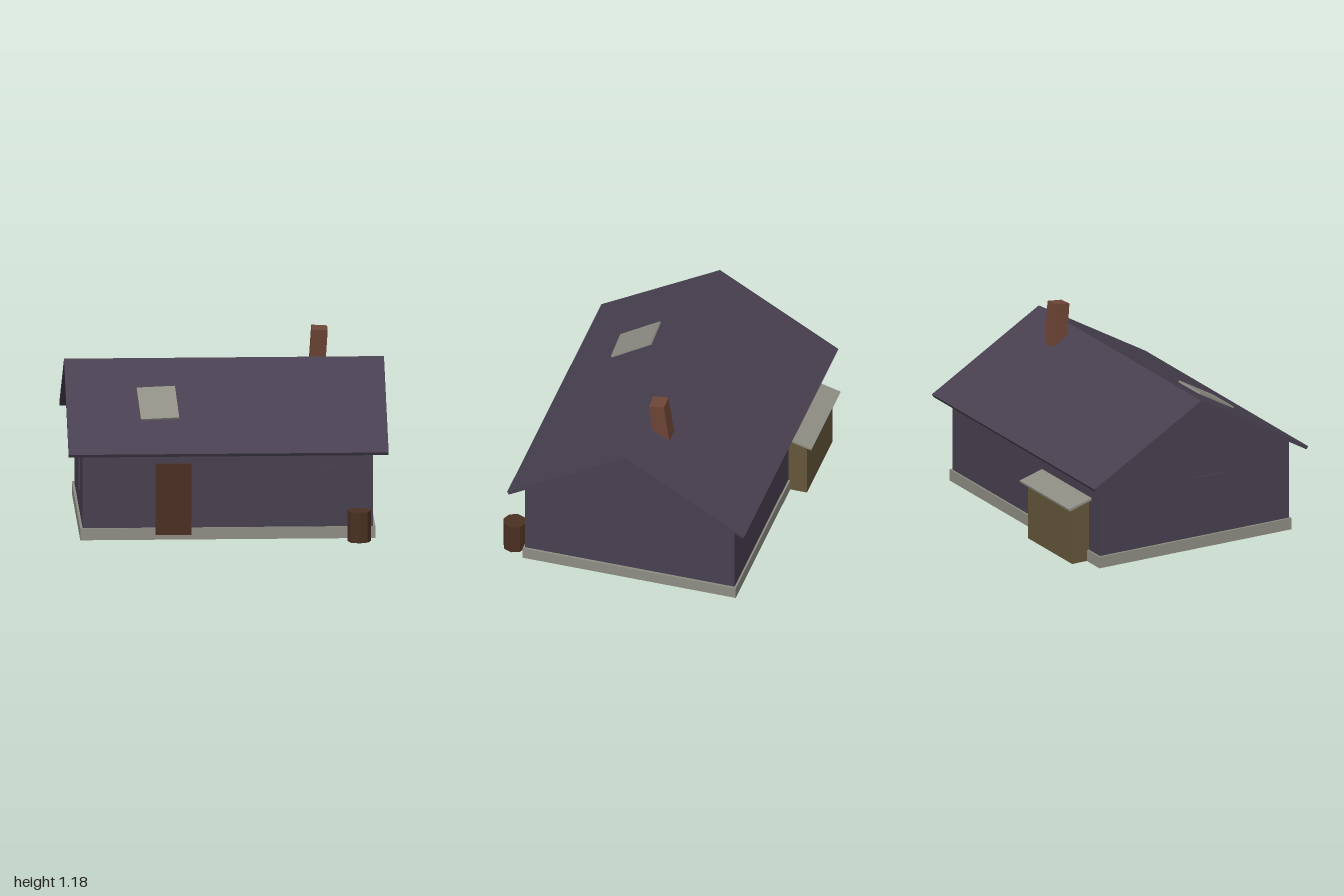
import * as THREE from 'three';

const paint = (name, color) => {
  const m = new THREE.MeshStandardMaterial({ color });
  m.name = name;
  return m;
};

export function createModel() {
  const slate = paint('dark slate', 0x484050);
  const stone = paint('grey stone', 0x8f8e84);
  const wood = paint('dark wood', 0x4a3022);
  const brick = paint('brick', 0x6e4536);
  const plank = paint('pale planks', 0x65563a);

  const house = new THREE.Group();
  house.name = 'cottage';

  const add = (parent, name, geometry, material, x, y, z) => {
    const mesh = new THREE.Mesh(geometry, material);
    mesh.name = name;
    mesh.position.set(x, y, z);
    parent.add(mesh);
    return mesh;
  };
  // Box given by its lower and upper corners
  const block = (name, material, [x0, y0, z0], [x1, y1, z1]) =>
    add(house, name, new THREE.BoxGeometry(x1 - x0, y1 - y0, z1 - z0), material,
      (x0 + x1) / 2, (y0 + y1) / 2, (z0 + z1) / 2);

  // Foundation
  block('foundation', stone, [-0.925, 0, -0.7], [0.92, 0.075, 0.693]);

  // Walls: gable profile (z, y) extruded along x
  const gable = new THREE.Shape([
    [-0.682, 0.07], [0.688, 0.07], [0.688, 0.585], [0.005, 0.98], [-0.682, 0.585],
  ].map(([u, v]) => new THREE.Vector2(u, v)));
  const walls = new THREE.ExtrudeGeometry(gable, { depth: 1.815, bevelEnabled: false });
  walls.rotateY(Math.PI / 2);
  walls.scale(1, 1, 1);
  add(house, 'walls', walls, slate, -0.91, 0, 0);

  // Roof panels hinged at the ridge
  const pitch = Math.PI / 6;
  const length = 0.775 / Math.cos(pitch);
  for (const side of [1, -1]) {
    const panel = new THREE.Group();
    panel.name = side > 0 ? 'frontRoof' : 'backRoof';
    panel.position.set(0, 1.01, -0.006);
    panel.rotation.x = side * pitch;
    add(panel, 'roofPanel', new THREE.BoxGeometry(2, 0.022, length), slate, 0, -0.011, side * length / 2);
    if (side > 0) {
      // Slightly crooked patch on the front slope
      const patch = add(panel, 'roofPatch', new THREE.BoxGeometry(0.24, 0.016, 0.295), stone, -0.427, 0.004, 0.427);
      patch.rotation.y = 0.06;
    }
    house.add(panel);
  }

  // Leaning chimney
  const chimney = add(house, 'chimney', new THREE.BoxGeometry(0.1, 0.34, 0.1), brick, 0.59, 1.007, -0.117);
  chimney.rotation.set(0.11, 0, -0.06);

  // Door and windows
  block('door', wood, [-0.455, 0.03, 0.66], [-0.23, 0.485, 0.697]);
  block('frontWindow', slate, [0.45, 0.22, 0.68], [0.675, 0.465, 0.687]);
  block('sideWindow', slate, [-0.917, 0.22, -0.005], [-0.908, 0.467, 0.23]);

  // Lean-to at the back
  block('leanTo', plank, [-0.775, 0.002, -0.81], [-0.235, 0.39, -0.67]);
  const lid = add(house, 'leanToRoof', new THREE.BoxGeometry(0.61, 0.015, 0.2), stone, -0.505, 0.403, -0.754);
  lid.rotation.x = -0.27;

  // Eight-sided barrel, corners on the axes
  const barrel = new THREE.CylinderGeometry(0.073, 0.073, 0.195, 8).toNonIndexed();
  barrel.computeVertexNormals();
  add(house, 'barrel', barrel, wood, 0.815, 0.0975, 0.777);

  return house;
}
